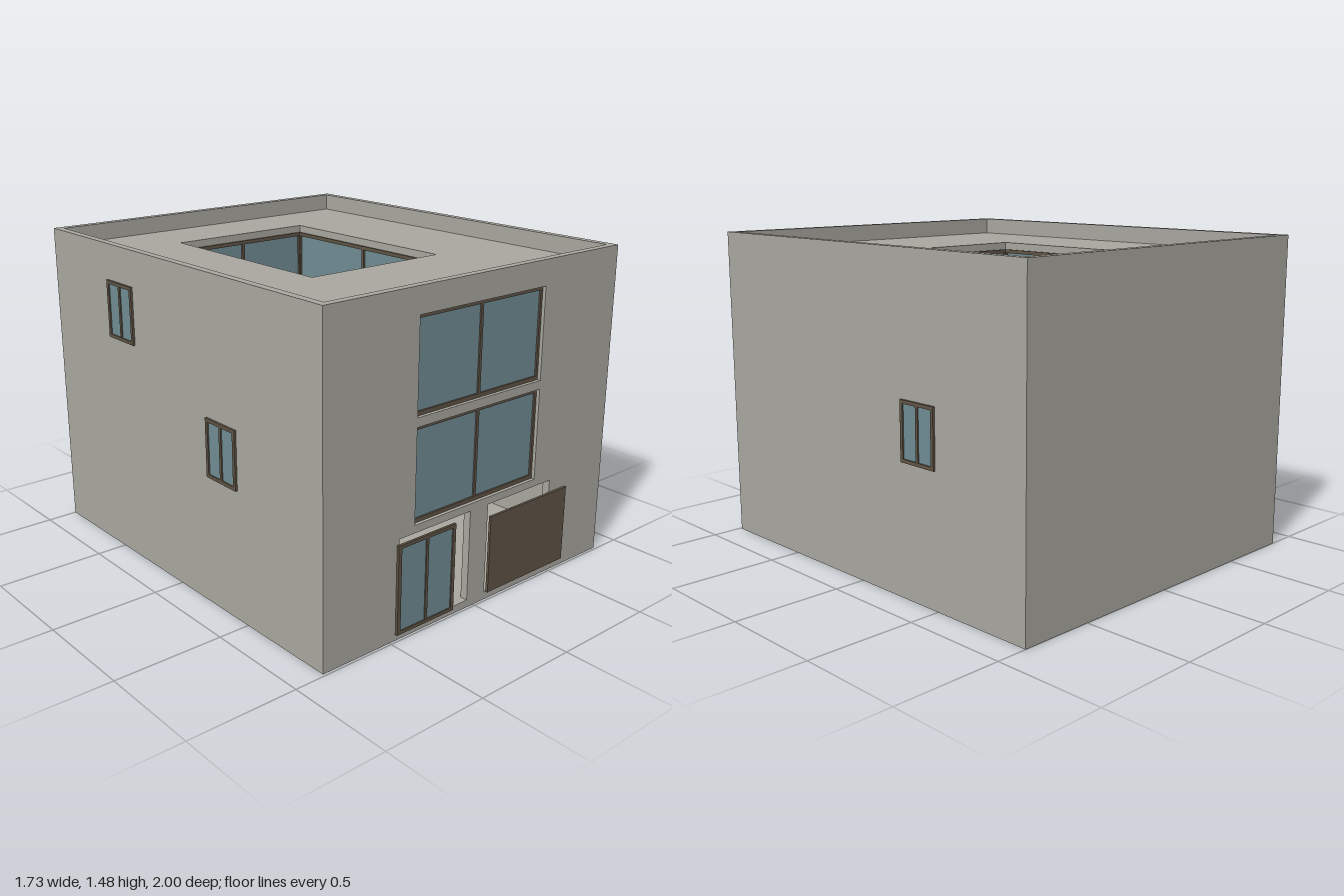
import * as THREE from 'three';

const mat = (name, color) => {
  const m = new THREE.MeshStandardMaterial({ color });
  m.name = name;
  return m;
};

export function createModel() {
  const model = new THREE.Group();
  model.name = 'courtyardHouse';
  const concrete = mat('concrete grey', 0xa9a79f);
  const frameMat = mat('dark bronze', 0x5f5445);
  const glassMat = mat('blue glass', 0x6f8c93);
  const grassMat = mat('lawn green', 0x5f7d51);
  const leafMat = mat('leaf green', 0x5c7a50);

  const add = (name, geometry, material, x = 0, y = 0, z = 0, parent = model) => {
    const mesh = new THREE.Mesh(geometry, material);
    mesh.name = name;
    mesh.position.set(x, y, z);
    parent.add(mesh);
    return mesh;
  };
  // Box given by its limits on each axis
  const block = (name, material, x0, x1, y0, y1, z0, z1, parent) =>
    add(name, new THREE.BoxGeometry(x1 - x0, y1 - y0, z1 - z0), material,
      (x0 + x1) / 2, (y0 + y1) / 2, (z0 + z1) / 2, parent);

  // Flat plate with rectangular holes; rectangles are [x0, x1, y0, y1]
  const corners = ([x0, x1, y0, y1]) => [[x0, y0], [x1, y0], [x1, y1], [x0, y1]]
    .map(([x, y]) => new THREE.Vector2(x, y));
  const plate = (outer, holes, depth) => {
    const shape = new THREE.Shape(corners(outer));
    holes.forEach((h) => shape.holes.push(new THREE.Path(corners(h).reverse())));
    return new THREE.ExtrudeGeometry(shape, { depth, bevelEnabled: false });
  };

  // Two-pane window, centred, facing +z, with its back at z = 0
  const makeWindow = (name, w, h, depth, side = 0.012, rail = 0.018) => {
    const g = new THREE.Group();
    g.name = name;
    const inner = [-w / 2 + side, w / 2 - side, -h / 2 + rail, h / 2 - rail];
    add('windowFrame', plate([-w / 2, w / 2, -h / 2, h / 2], [inner], depth), frameMat, 0, 0, 0, g);
    block('windowGlass', glassMat, inner[0], inner[1], inner[2], inner[3], depth * 0.25, depth * 0.6, g);
    block('windowMullion', frameMat, -0.007, 0.007, inner[2], inner[3], depth * 0.1, depth * 0.95, g);
    model.add(g);
    return g;
  };

  // Outer walls
  const W = 0.855, T = 0.036, H = 1.48, BACK = -1, FRONT = 0.988;
  for (const s of [-1, 1]) {
    const a = s * W, b = s * (W - T);
    block('sideWall', concrete, Math.min(a, b), Math.max(a, b), 0, H, BACK, FRONT);
  }
  block('backWall', concrete, -W + T, W - T, 0, H, BACK, BACK + T);
  const upperFloors = [[0.49, 0.91], [0.95, 1.365]];
  const frontHoles = [
    [-0.455, -0.04, 0.035, 0.455],
    [0.07, 0.48, 0.035, 0.455],
    ...upperFloors.map(([y0, y1]) => [-0.37, 0.37, y0, y1]),
  ];
  add('frontWall', plate([-W + T, W - T, 0, H], frontHoles, T), concrete, 0, 0, FRONT - T);

  // Floor slabs and roof, each open over the courtyard
  const CX = 0.37, CB = -0.65, CF = 0.345;
  for (const [y0, y1] of [[0, 0.035], [0.455, 0.49], [0.91, 0.95], [1.365, 1.4]]) {
    const slab = plate([-W + T, W - T, -FRONT + T, -BACK - T], [[-CX, CX, -CF, -CB]], y1 - y0);
    slab.rotateX(-Math.PI / 2);
    add(y1 === 1.4 ? 'roof' : 'floorSlab', slab, concrete, 0, y0, 0);
  }

  // Courtyard glazing on all four sides of every storey
  const midZ = (CB + CF) / 2, depthZ = CF - CB, lip = 0.008, thick = 0.03;
  for (const [y0, y1] of [[0.035, 0.455], ...upperFloors]) {
    const y = (y0 + y1) / 2, h = y1 - y0, back = thick - lip;
    makeWindow('courtyardBackWindow', 2 * CX, h, thick).position.set(0, y, CB - back);
    const front = makeWindow('courtyardFrontWindow', 2 * CX, h, thick);
    front.position.set(0, y, CF + back);
    front.rotation.y = Math.PI;
    for (const s of [-1, 1]) {
      const side = makeWindow('courtyardSideWindow', depthZ, h, thick);
      side.position.set(s * (CX + back), y, midZ);
      side.rotation.y = -s * Math.PI / 2;
    }
  }

  // Large street windows, set back slightly
  for (const [y0, y1] of upperFloors) {
    makeWindow('frontWindow', 0.74, y1 - y0, 0.02).position.set(0, (y0 + y1) / 2, FRONT - 0.036);
  }

  // Small side windows: [side, y, z]
  for (const [s, y, z] of [[1, 0.73, -0.39], [-1, 0.73, 0.345], [-1, 1.183, -0.405]]) {
    const w = makeWindow('sideWindow', 0.205, 0.265, 0.016, 0.016, 0.016);
    w.position.set(s * (W - 0.006), y, z);
    w.rotation.y = s * Math.PI / 2;
  }

  // Sliding entrance doors
  makeWindow('glassDoor', 0.33, 0.405, 0.012, 0.018, 0.016).position.set(-0.302, 0.23, FRONT);
  block('solidDoor', frameMat, 0.08, 0.588, 0.035, 0.397, FRONT, 1);

  // Courtyard garden
  block('lawn', grassMat, -0.347, 0.347, 0.025, 0.037, -0.627, 0.322);
  add('treeTrunk', new THREE.CylinderGeometry(0.018, 0.026, 0.28, 8), frameMat, 0.04, 0.175, -0.18);
  const leaves = new THREE.IcosahedronGeometry(1, 1);
  leaves.scale(0.195, 0.22, 0.232);
  leafMat.flatShading = true;
  add('treeCrown', leaves, leafMat, 0.04, 0.46, -0.18);

  return model;
}
